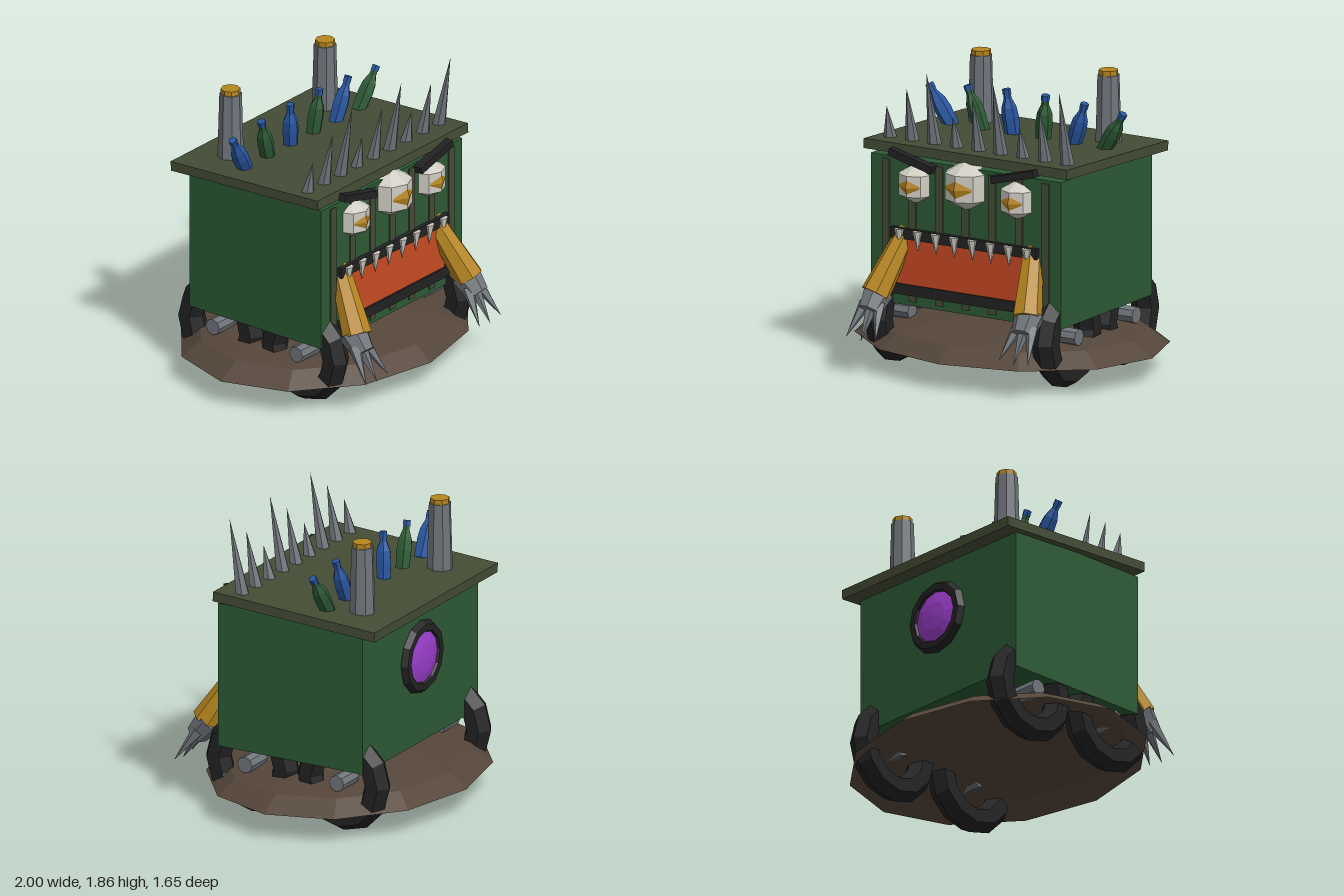
import * as THREE from 'three';

const mat = (name, color, side = THREE.FrontSide) =>
  Object.assign(new THREE.MeshStandardMaterial({ color, flatShading: true, side }), { name });

export function createModel() {
  const root = new THREE.Group();
  root.name = 'monsterCart';
  const green = mat('bodyGreen', 0x2c5a35);
  const olive = mat('oliveWood', 0x444c35);
  const brown = mat('earthBrown', 0x55463a, THREE.DoubleSide);
  const black = mat('rubberBlack', 0x222222);
  const metal = mat('greyMetal', 0x70757b);
  const bone = mat('boneWhite', 0xcfcdc3);
  const gold = mat('gold', 0xb5851f);
  const orange = mat('mouthOrange', 0xc84a22);
  const blue = mat('bottleBlue', 0x28559f);
  const purple = mat('windowPurple', 0x9a3ecb);

  const add = (name, geo, material, x = 0, y = 0, z = 0, parent = root) => {
    const m = new THREE.Mesh(geo, material);
    m.name = name;
    m.position.set(x, y, z);
    parent.add(m);
    return m;
  };
  const box = (w, h, d) => new THREE.BoxGeometry(w, h, d);
  // Tapered limb running from point a (radius ra) to point b (radius rb)
  const limb = (name, a, b, ra, rb, sides, material) => {
    const p = new THREE.Vector3(...a), q = new THREE.Vector3(...b);
    const dir = q.clone().sub(p), mid = p.clone().add(q).multiplyScalar(0.5);
    const m = add(name, new THREE.CylinderGeometry(rb, ra, dir.length(), sides), material, mid.x, mid.y, mid.z);
    m.quaternion.setFromUnitVectors(new THREE.Vector3(0, 1, 0), dir.normalize());
    return m;
  };

  // Dirt mound: open flattened dome
  add('mound', new THREE.SphereGeometry(1, 12, 3, 0, Math.PI * 2, 0, Math.PI / 2), brown, 0, 0.165, -0.015)
    .scale.set(1, 0.175, 0.815);

  // Body and tilted lid
  add('body', box(1.36, 0.91, 1.01), green, 0, 0.865, -0.005);
  add('lid', box(1.45, 0.06, 1.13), olive, 0, 1.347, -0.055).rotation.x = -0.05;

  // Wheels with short hubs
  for (const x of [-0.595, 0.595]) {
    for (const z of [0.31, -0.33]) {
      add('wheel', new THREE.TorusGeometry(0.235, 0.085, 6, 12), black, x, 0.32, z).rotation.y = Math.PI / 2;
      add('hub', new THREE.CylinderGeometry(0.052, 0.052, 0.18, 8), metal, x, 0.322, z).rotation.z = Math.PI / 2;
    }
  }

  // Front slats
  for (let i = -3; i <= 3; i++) add('slat', box(0.052, 0.865, 0.012), olive, i * 0.19, 0.868, 0.502);

  // Mouth, lips and teeth
  add('mouth', box(0.98, 0.32, 0.03), orange, 0, 0.685, 0.502);
  add('upperLip', box(1.04, 0.065, 0.05), black, 0, 0.858, 0.505);
  add('lowerLip', box(1.04, 0.065, 0.05), black, 0, 0.512, 0.505);
  for (let i = 0; i < 8; i++) {
    add('tooth', new THREE.ConeGeometry(0.034, 0.13, 6), bone, (i - 3.5) * 0.13, 0.822, 0.53).rotation.x = Math.PI;
  }

  // Three eyes
  for (const [x, y, r] of [[-0.365, 1.17, 0.13], [0, 1.21, 0.163], [0.365, 1.17, 0.13]]) {
    add('eye', new THREE.SphereGeometry(r, 8, 3), bone, x, y, 0.48);
    add('pupil', new THREE.SphereGeometry(r * 0.58, 4, 4), gold, x, y - 0.005, 0.48 + r * 0.64)
      .scale.set(1, 0.77, 0.56);
  }

  // Mirrored parts: brows, arms with clawed hands, chimneys
  for (const s of [-1, 1]) {
    add('brow', box(0.315, 0.045, 0.06), black, s * 0.365, 1.322, 0.53).rotation.z = s * 0.25;

    limb('arm', [s * 0.448, 0.87, 0.45], [s * 0.54, 0.5, 0.665], 0.062, 0.092, 7, gold);
    limb('hand', [s * 0.54, 0.51, 0.635], [s * 0.548, 0.405, 0.725], 0.094, 0.07, 7, metal);
    for (const k of [-1, 0, 1]) {
      limb('claw', [s * 0.545 + k * 0.048, 0.445, 0.69], [s * 0.545 + k * 0.105, k ? 0.25 : 0.235, 0.825],
        0.042, 0, 5, metal);
    }

    add('chimney', new THREE.CylinderGeometry(0.068, 0.08, 0.43, 8), metal, s * 0.455, 1.56, -0.375);
    add('chimneyCap', new THREE.CylinderGeometry(0.06, 0.06, 0.05, 8), gold, s * 0.455, 1.78, -0.375);
  }

  // Row of forward-leaning spikes on the lid
  const heights = [0.2, 0.34, 0.465];
  for (let i = 0; i < 9; i++) {
    const h = heights[i % 3] + 0.03;
    const geo = new THREE.ConeGeometry(0.046, h, 6).translate(0, h / 2, 0);
    add('spike', geo, metal, (i - 4) * 0.158, 1.37, 0.355).rotation.x = 0.19;
  }

  // Fanned bottles with blue caps
  const profile = [[0, 0], [0.046, 0], [0.052, 0.12], [0.046, 0.18], [0.024, 0.235], [0.022, 0.265]]
    .map(([r, y]) => new THREE.Vector2(r, y));
  for (let i = 0; i < 6; i++) {
    const k = i * 2 - 5;
    const bottle = new THREE.Group();
    bottle.name = 'bottle';
    bottle.position.set(k * 0.108, 1.355, -0.19);
    bottle.rotation.set(0.08, 0, -k * 0.11);
    add('bottleGlass', new THREE.LatheGeometry(profile, 6), i % 2 ? green : blue, 0, 0, 0, bottle);
    add('bottleCap', new THREE.CylinderGeometry(0.026, 0.026, 0.036, 6), blue, 0, 0.277, 0, bottle);
    root.add(bottle);
  }

  // Round window on the back
  add('windowFrame', new THREE.TorusGeometry(0.19, 0.042, 6, 12), black, 0, 0.957, -0.512);
  const dome = new THREE.SphereGeometry(0.185, 12, 3, 0, Math.PI * 2, 0, Math.PI / 2).rotateX(-Math.PI / 2);
  add('windowGlass', dome, purple, 0, 0.957, -0.508).scale.z = 0.28;

  return root;
}
